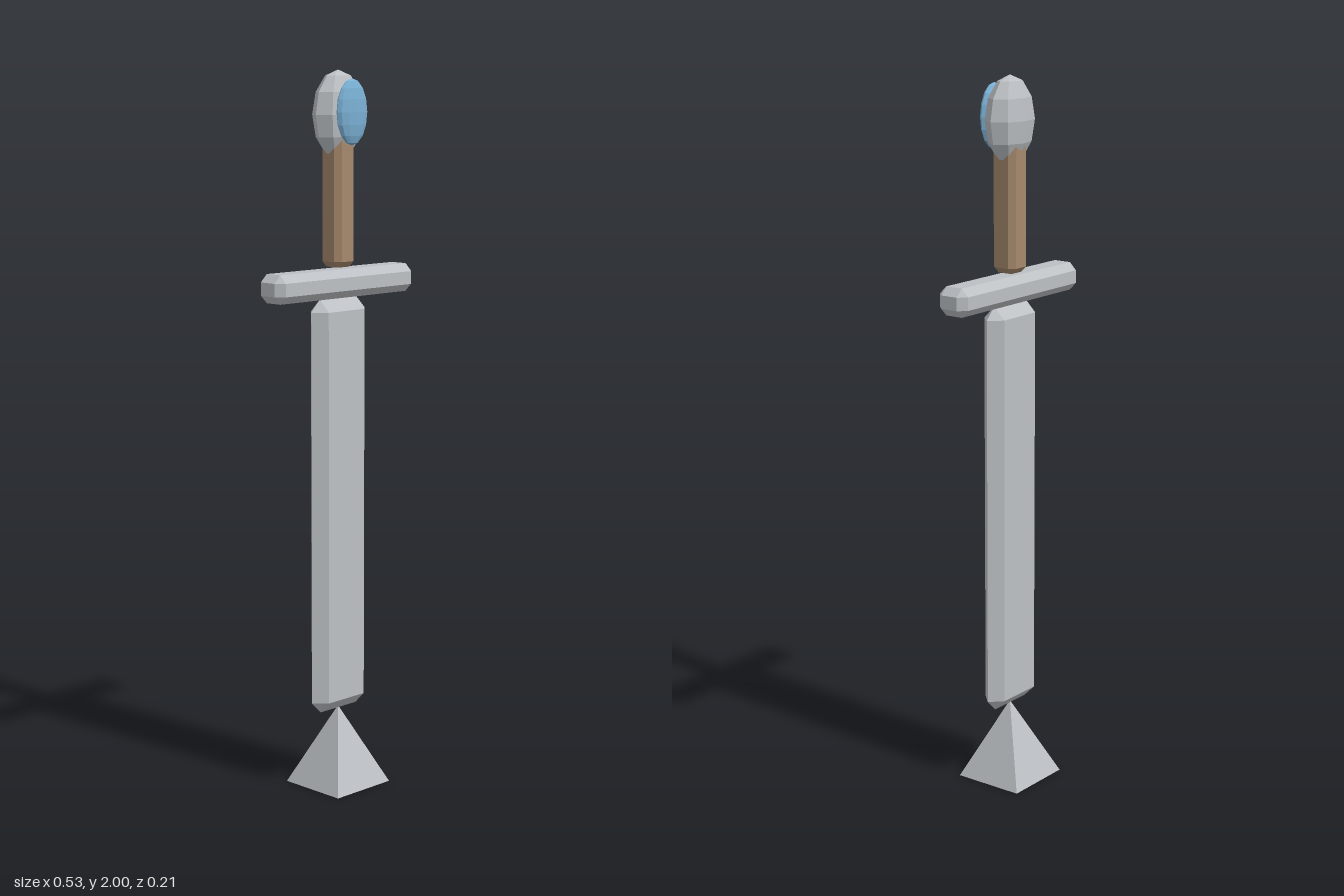
import * as THREE from 'three';
import { ConvexGeometry } from 'three/addons/geometries/ConvexGeometry.js';

const steel = new THREE.MeshStandardMaterial({ color: 0xbcc0c4, flatShading: true });
steel.name = 'steel';
const leather = new THREE.MeshStandardMaterial({ color: 0xa5886c, flatShading: true });
leather.name = 'leather';
const blue = new THREE.MeshStandardMaterial({ color: 0x7ab0d4, flatShading: true });
blue.name = 'blue gem';

// Box of half sizes a, b, c with all edges and corners cut by r
function chamferBox(a, b, c, r) {
  const points = new Map();
  const add = (x, y, z) => points.set([x, y, z].map((v) => (v + 0).toFixed(5)).join(), new THREE.Vector3(x, y, z));
  for (const sx of [-1, 1]) for (const sy of [-1, 1]) for (const sz of [-1, 1]) {
    add(sx * a, sy * (b - r), sz * (c - r) + 0);
    add(sx * (a - r), sy * b, sz * (c - r) + 0);
    add(sx * (a - r), sy * (b - r), sz * c);
  }
  return new ConvexGeometry([...points.values()]);
}

export function createModel() {
  const sword = new THREE.Group();
  sword.name = 'sword';

  function add(name, geometry, material, y, z = 0) {
    const mesh = new THREE.Mesh(geometry, material);
    mesh.name = name;
    mesh.position.set(0, y, z);
    sword.add(mesh);
  }

  // Upright four-sided pyramid under the blade
  const pyramid = new THREE.ConeGeometry(0.103 * Math.SQRT2, 0.225, 4).rotateY(Math.PI / 4);
  add('tip', pyramid, steel, 0.1125);

  // Blade bevelled down to a sharp edge all round
  add('blade', chamferBox(0.103, 0.583, 0.034, 0.0335), steel, 0.802);

  add('crossguard', chamferBox(0.263, 0.039, 0.047, 0.021), steel, 1.426);
  add('grip', chamferBox(0.038, 0.19, 0.038, 0.016), leather, 1.66);

  // Faceted pommel with a gem on its front
  add('pommel', new THREE.SphereGeometry(1, 8, 6).scale(0.084, 0.119, 0.055), steel, 1.881);
  add('gem', new THREE.SphereGeometry(1, 12, 8).scale(0.056, 0.089, 0.02), blue, 1.888, 0.053);

  return sword;
}
